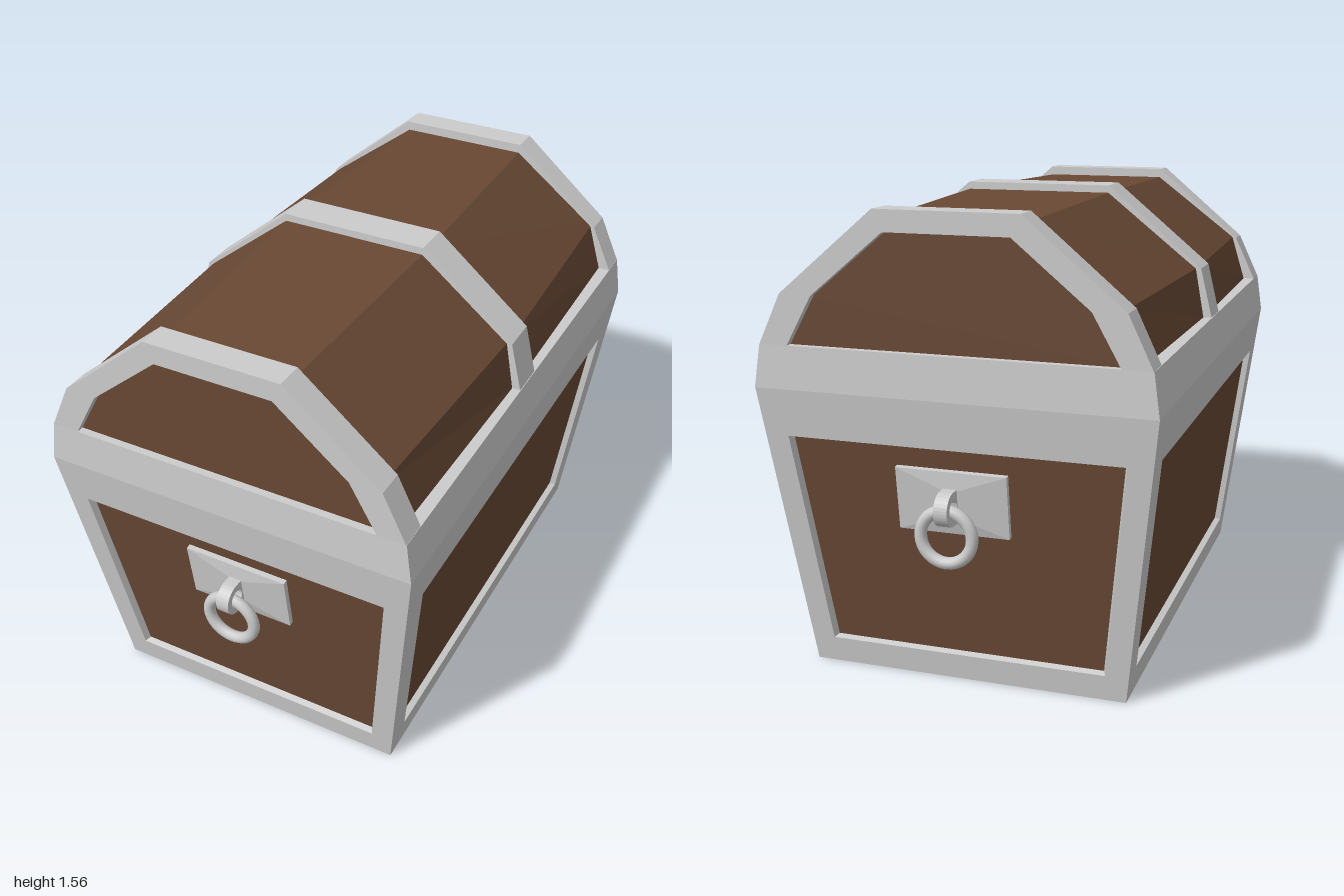
import * as THREE from 'three';

const metal = new THREE.MeshStandardMaterial({ color: 0xcccccc, flatShading: true });
const smoothMetal = new THREE.MeshStandardMaterial({ color: 0xcccccc });
const wood = new THREE.MeshStandardMaterial({ color: 0x684834, flatShading: true });

// Body half width and half depth at height y
const halfX = (y) => 0.54 + 0.117 * y / 0.97;
const halfZ = (y) => 0.82 + 0.125 * y / 0.97;

function mesh(name, geometry, material) {
  const m = new THREE.Mesh(geometry, material);
  m.name = name;
  return m;
}

// Polygons (arrays of 3D points) split into triangle fans
function fromPolygons(polys) {
  const pos = [];
  for (const p of polys)
    for (let i = 1; i < p.length - 1; i++) pos.push(...p[0], ...p[i], ...p[i + 1]);
  const g = new THREE.BufferGeometry();
  g.setAttribute('position', new THREE.Float32BufferAttribute(pos, 3));
  g.computeVertexNormals();
  return g;
}

// Quads between successive closed rings of equal length
function loft(rings) {
  const polys = [];
  for (let k = 0; k < rings.length - 1; k++)
    rings[k].forEach((p, i) => {
      const j = (i + 1) % rings[k].length;
      polys.push([p, rings[k][j], rings[k + 1][j], rings[k + 1][i]]);
    });
  return polys;
}

// Metal border with a recessed wooden panel; map turns (u, v, depth) into a 3D point
function framedPanel(name, outer, inner, floor, depth, map) {
  const group = new THREE.Group();
  group.name = name;
  const ring = (pts, d) => pts.map((p) => map(...p, d));
  const panel = ring(floor, depth);
  group.add(mesh(name + 'Frame', fromPolygons(loft([ring(outer, 0), ring(inner, 0), panel])), metal));
  group.add(mesh(name + 'Panel', fromPolygons([panel]), wood));
  return group;
}

const trapezoid = (b, t, y0, y1) => [[-b, y0], [b, y0], [t, y1], [-t, y1]];

// Symmetric arch outline from its right half, listed bottom to top
const arch = (half) => [...half, ...half.slice().reverse().map(([x, y]) => [-x, y])];
const toVectors = (pts) => pts.map(([x, y]) => new THREE.Vector2(x, y));

function extrude(pts, hole, z0, z1) {
  const shape = new THREE.Shape(toVectors(pts));
  if (hole) shape.holes.push(new THREE.Path(toVectors(hole)));
  return new THREE.ExtrudeGeometry(shape, { depth: z1 - z0, bevelEnabled: false }).translate(0, 0, z0);
}

function createHandle() {
  const handle = new THREE.Group();
  handle.name = 'handle';

  // Plate with a shallow raised centre, tilted with the wall
  const plateRing = (x, y, z) => trapezoid(x, x, -y, y).map((p) => [...p, z]);
  const rings = [plateRing(0.185, 0.106, -0.03), plateRing(0.185, 0.106, 0.01), plateRing(0.03, 0.05, 0.02)];
  const plate = mesh('handlePlate', fromPolygons([...loft(rings), rings[2]]), metal);
  plate.position.set(0, 0.635, 0.888);
  plate.rotation.x = 0.128;

  // Rounded bracket that holds the ring
  const bracket = new THREE.Shape().moveTo(-0.06, -0.055).lineTo(0, -0.055);
  bracket.absarc(0, 0, 0.055, -Math.PI / 2, Math.PI / 2).lineTo(-0.06, 0.055);
  bracket.holes.push(new THREE.Path().absarc(0, 0, 0.031, 0, Math.PI * 2, true));
  const lug = mesh('handleBracket',
    new THREE.ExtrudeGeometry(bracket, { depth: 0.045, bevelEnabled: false, curveSegments: 8 }), metal);
  lug.rotation.y = -Math.PI / 2;
  lug.position.set(0.0225, 0.63, 0.944);

  const ring = mesh('handleRing', new THREE.TorusGeometry(0.086, 0.02, 12, 32), smoothMetal);
  ring.position.set(0, 0.54, 0.95);
  handle.add(plate, lug, ring);
  return handle;
}

export function createModel() {
  const chest = new THREE.Group();
  chest.name = 'chest';

  // Body: four tapered framed sides
  for (const turn of [0, Math.PI]) {
    const end = framedPanel(turn ? 'bodyBack' : 'bodyFront',
      trapezoid(halfX(0), halfX(0.97), 0, 0.97),
      trapezoid(0.473, 0.558, 0.088, 0.812), trapezoid(0.464, 0.548, 0.095, 0.806), 0.022,
      (u, y, d) => [u, y, halfZ(y) - d]);
    const side = framedPanel(turn ? 'bodyRight' : 'bodyLeft',
      trapezoid(halfZ(0), halfZ(0.97), 0, 0.97),
      trapezoid(0.735, 0.815, 0.09, 0.812), trapezoid(0.727, 0.806, 0.097, 0.806), 0.022,
      (u, y, d) => [halfX(y) - d, y, -u]);
    end.rotation.y = side.rotation.y = turn;
    chest.add(end, side);

    const handle = createHandle();
    handle.position.x = 0.01;
    handle.rotation.y = turn;
    chest.add(handle);
  }

  // Underside
  chest.add(framedPanel('bottom', trapezoid(halfX(0), halfX(0), -0.82, 0.82),
    trapezoid(0.475, 0.475, -0.755, 0.755), trapezoid(0.468, 0.468, -0.748, 0.748), 0.035,
    (u, v, d) => [u, d, v]));

  // Lid rim: rectangular band with a ledge on top
  const rect = (x, y, z) => [[-x, y, z], [x, y, z], [x, y, -z], [-x, y, -z]];
  chest.add(mesh('lidRim', fromPolygons(loft([
    rect(0.657, 0.97, 0.946), rect(0.637, 1.11, 0.94), rect(0.54, 1.11, 0.85),
  ])), metal));

  // Wooden lid, bulging slightly toward the middle
  const endHalf = [[0.595, 1.1], [0.54, 1.277], [0.228, 1.513]];
  const midHalf = [[0.61, 1.1], [0.577, 1.28], [0.26, 1.532]];
  const section = (half, z) => arch(half).map(([x, y]) => [x, y, z]);
  const rings = [section(endHalf, -0.915), section(midHalf, 0), section(endHalf, 0.915)];
  chest.add(mesh('lidWood',
    fromPolygons([...loft(rings), rings[2], rings[0].slice().reverse()]), wood));

  // Metal arches at both ends and over the middle
  const outer = arch([[0.636, 1.11], [0.558, 1.275], [0.235, 1.547]]);
  const opening = arch([[0.54, 1.111], [0.45, 1.273], [0.203, 1.478]]);
  chest.add(mesh('frontArch', extrude(outer, opening, 0.845, 0.941), metal));
  chest.add(mesh('backArch', extrude(outer, opening, -0.941, -0.845), metal));
  const band = arch([[0.637, 1.1], [0.593, 1.28], [0.26, 1.556]]);
  chest.add(mesh('middleBand', extrude(band, null, -0.065, 0.065), metal));

  return chest;
}
